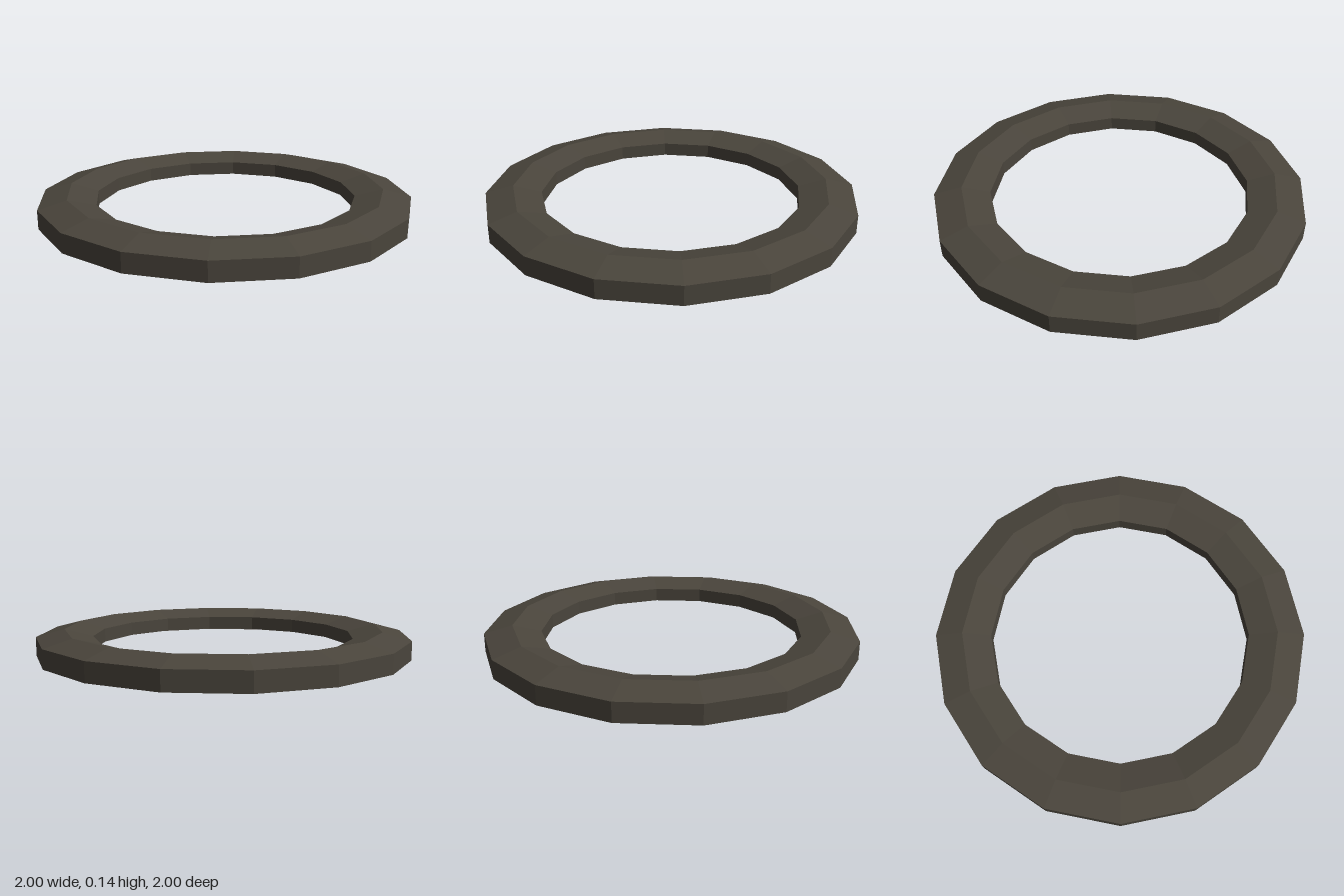
import * as THREE from 'three';

// Low-poly ring: a hollow shell with an open slot in its underside
export function createModel() {
  const group = new THREE.Group();
  group.name = 'ring';

  // Cross-section: underside lip, outer wall, two top bevels, inner wall
  const profile = [
    [0.85, 0],
    [1, 0],
    [1, 0.1],
    [0.85, 0.14],
    [0.7, 0.1],
    [0.7, 0.025],
  ].map(([r, y]) => new THREE.Vector2(r, y));

  const material = new THREE.MeshStandardMaterial({
    color: 0x4a453c,
    flatShading: true,
    side: THREE.DoubleSide,
  });

  const shell = new THREE.Mesh(new THREE.LatheGeometry(profile, 16), material);
  shell.name = 'ringShell';
  group.add(shell);
  return group;
}
